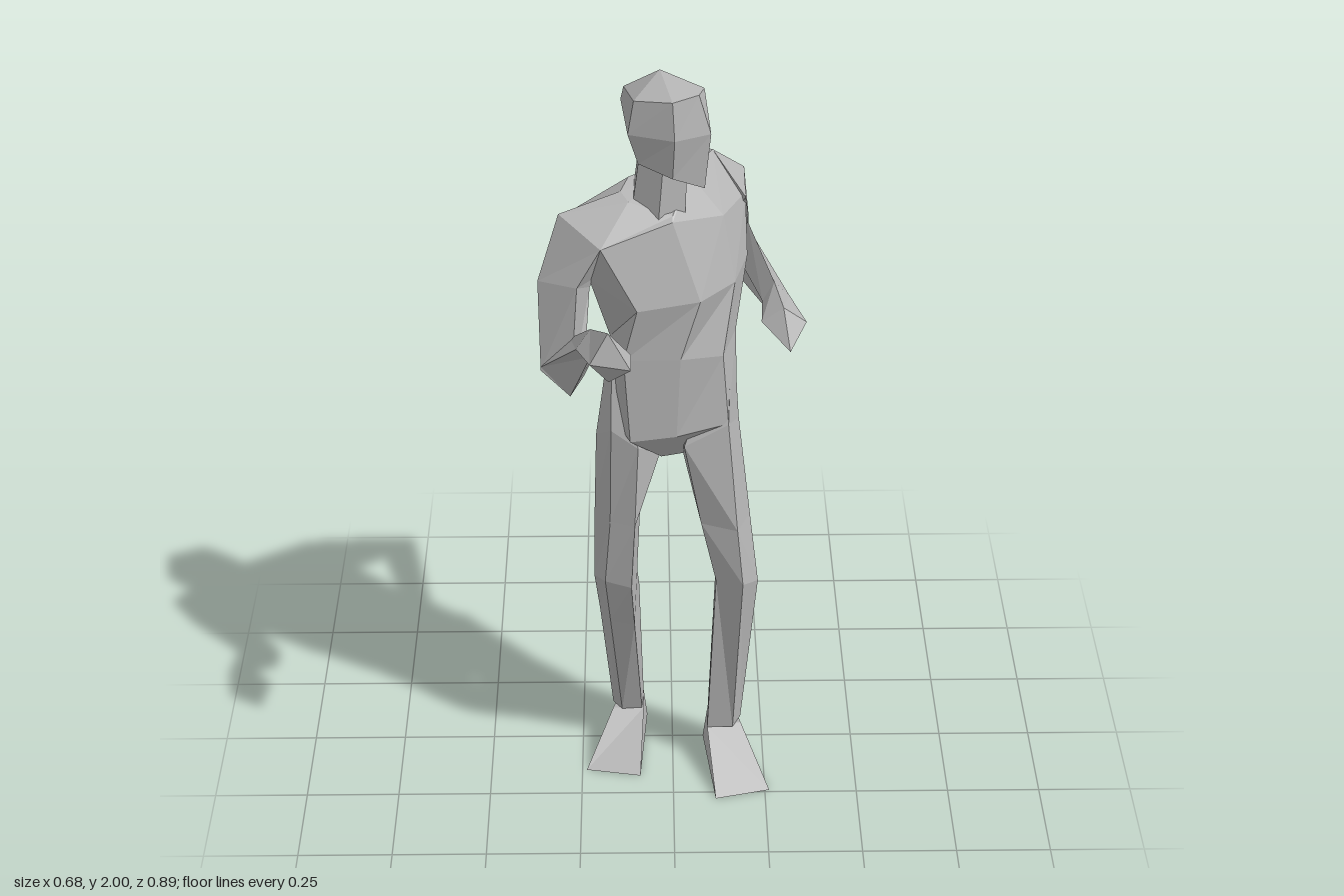
import * as THREE from 'three';

const skin = new THREE.MeshStandardMaterial({ color: 0xb4b4b4, flatShading: true });
skin.name = 'plain grey';

// Faceted skin through a stack of cross-sections; a one-point ring makes a tip.
function loft(name, rings) {
  const n = Math.max(...rings.map((r) => r.length));
  const rows = rings.map((r) => Array.from({ length: n }, (_, i) => new THREE.Vector3(...r[i % r.length])));
  const tris = [];
  const add = (a, b, c) => {
    const area = b.clone().sub(a).cross(c.clone().sub(a)).length();
    if (area > 1e-7) tris.push([a, b, c]);
  };
  for (let k = 0; k < rows.length - 1; k++) {
    for (let i = 0; i < n; i++) {
      const j = (i + 1) % n;
      const a = rows[k][i], b = rows[k][j], c = rows[k + 1][j], d = rows[k + 1][i];
      add(a, b, c);
      add(a, c, d);
    }
  }
  // end caps
  const middle = (row) => row.reduce((s, p) => s.add(p), new THREE.Vector3()).divideScalar(n);
  const first = rows[0], last = rows[rows.length - 1];
  const m0 = middle(first), m1 = middle(last);
  for (let i = 0; i < n; i++) {
    const j = (i + 1) % n;
    add(m0, first[j], first[i]);
    add(m1, last[i], last[j]);
  }
  // turn the skin outward whatever the ring direction
  const volume = tris.reduce((s, [a, b, c]) => s + a.dot(b.clone().cross(c)), 0);
  const points = tris.flatMap(([a, b, c]) => (volume < 0 ? [a, c, b] : [a, b, c]));
  const geometry = new THREE.BufferGeometry().setFromPoints(points);
  geometry.computeVertexNormals();
  const mesh = new THREE.Mesh(geometry, skin);
  mesh.name = name;
  return mesh;
}

// Horizontal regular ring
const hoop = (x, y, z, r, n = 6) => Array.from({ length: n }, (_, i) => {
  const a = (i / n) * Math.PI * 2;
  return [x + r * Math.sin(a), y, z + r * Math.cos(a)];
});

export function createModel() {
  const figure = new THREE.Group();
  figure.name = 'standing figure';

  // torso, twisted at the shoulders; rings run front right, front, left, back, right
  const hips = [[-0.11, 1.04, 0.105], [0.01, 1.04, 0.08], [0.145, 1.06, 0.05], [0.17, 1.07, -0.05],
    [0.11, 1.03, -0.18], [0, 1.03, -0.18], [-0.1, 1.04, -0.13], [-0.16, 1.05, -0.02]];
  const crotch = hips.map(([x, , z]) => [x * 0.22 - 0.005, 0.95, z * 0.3]);
  figure.add(loft('torso', [
    crotch,
    hips,
    [[-0.125, 1.28, 0.1], [0.02, 1.27, 0.08], [0.13, 1.25, 0.025], [0.165, 1.27, -0.08],
      [0.11, 1.3, -0.215], [0, 1.3, -0.2], [-0.13, 1.3, -0.13], [-0.16, 1.28, -0.03]],
    [[-0.09, 1.43, 0.115], [0.07, 1.43, 0.065], [0.16, 1.43, -0.04], [0.195, 1.45, -0.15],
      [0.09, 1.45, -0.265], [-0.06, 1.45, -0.21], [-0.2, 1.45, -0.11], [-0.21, 1.46, 0]],
    [[-0.18, 1.59, 0.085], [0, 1.64, 0.035], [0.13, 1.6, -0.08], [0.19, 1.6, -0.21],
      [0.06, 1.615, -0.32], [-0.14, 1.6, -0.21], [-0.28, 1.6, -0.08], [-0.285, 1.65, 0.005]],
    [[-0.11, 1.68, 0], [0, 1.65, 0.02], [0.045, 1.705, -0.1], [0.105, 1.71, -0.235],
      [0.085, 1.71, -0.24], [-0.01, 1.71, -0.17], [-0.11, 1.7, -0.1], [-0.13, 1.69, -0.04]],
  ]));

  // neck and head
  figure.add(loft('neck', [hoop(-0.035, 1.64, -0.05, 0.078), hoop(-0.02, 1.82, -0.06, 0.068)]));
  figure.add(loft('head', [
    [[-0.085, 1.79, 0.01], [0, 1.765, 0.045], [0.08, 1.725, 0.015], [0.07, 1.76, -0.07], [-0.01, 1.82, -0.145], [-0.1, 1.82, -0.11]],
    [[-0.11, 1.87, 0.012], [0.005, 1.87, 0.053], [0.095, 1.87, 0.01], [0.09, 1.86, -0.085], [-0.01, 1.87, -0.163], [-0.128, 1.9, -0.13]],
    [[-0.095, 1.955, 0], [0, 1.965, 0.035], [0.065, 1.97, 0], [0.08, 1.95, -0.085], [-0.01, 1.95, -0.16], [-0.12, 1.94, -0.12]],
    [[-0.03, 2, -0.085]],
  ]));

  // right arm, forearm raised forward
  figure.add(loft('rightUpperArm', [
    [[-0.285, 1.65, 0.005], [-0.28, 1.6, -0.08], [-0.19, 1.45, -0.04], [-0.18, 1.59, 0.085]],
    [[-0.34, 1.48, 0.04], [-0.3, 1.47, -0.04], [-0.21, 1.44, 0], [-0.24, 1.49, 0.1]],
    [[-0.335, 1.26, 0.11], [-0.29, 1.25, 0.06], [-0.225, 1.25, 0.1], [-0.26, 1.21, 0.155]],
  ]));
  const rightWrist = [[-0.24, 1.42, 0.28], [-0.205, 1.39, 0.265], [-0.18, 1.42, 0.25], [-0.205, 1.46, 0.25]];
  figure.add(loft('rightForearm', [
    [[-0.335, 1.27, 0.11], [-0.26, 1.21, 0.155], [-0.225, 1.25, 0.12], [-0.26, 1.34, 0.085]],
    rightWrist,
  ]));
  figure.add(loft('rightHand', [
    rightWrist,
    [[-0.205, 1.44, 0.39], [-0.16, 1.38, 0.37], [-0.105, 1.43, 0.325], [-0.16, 1.505, 0.35]],
    [[-0.105, 1.455, 0.444]],
  ]));

  // left arm, elbow drawn back
  figure.add(loft('leftUpperArm', [
    [[0.105, 1.71, -0.235], [0.06, 1.615, -0.318], [0.13, 1.47, -0.25], [0.19, 1.6, -0.18]],
    [[0.19, 1.618, -0.32], [0.09, 1.57, -0.35], [0.13, 1.46, -0.31], [0.2, 1.52, -0.24]],
    [[0.21, 1.37, -0.44], [0.14, 1.365, -0.445], [0.16, 1.3, -0.37], [0.2, 1.44, -0.32]],
  ]));
  const leftWrist = [[0.3, 1.38, -0.06], [0.26, 1.43, -0.04], [0.23, 1.38, -0.03], [0.265, 1.32, -0.04]];
  figure.add(loft('leftForearm', [
    [[0.212, 1.37, -0.44], [0.2, 1.47, -0.3], [0.142, 1.365, -0.443], [0.17, 1.29, -0.355]],
    leftWrist,
  ]));
  figure.add(loft('leftHand', [
    leftWrist,
    [[0.34, 1.36, 0.045], [0.28, 1.41, 0.06], [0.225, 1.37, 0.06], [0.28, 1.295, 0.04]],
    [[0.295, 1.33, 0.145]],
  ]));

  // legs: waist tip, hip, mid thigh, knee, calf, ankle
  figure.add(loft('leftLeg', [
    [[0.155, 1.32, -0.08]],
    [[0.03, 1, 0.065], [0.145, 1.06, 0.055], [0.175, 1.02, -0.05], [0.13, 1.02, -0.178], [0.02, 0.95, -0.05]],
    [[0.075, 0.77, 0.08], [0.17, 0.77, 0.118], [0.205, 0.77, 0.03], [0.16, 0.77, -0.06], [0.075, 0.75, 0]],
    [[0.115, 0.6, 0.1], [0.185, 0.62, 0.15], [0.228, 0.58, 0.07], [0.18, 0.58, 0], [0.115, 0.58, 0.03]],
    [[0.095, 0.1, 0.09], [0.165, 0.1, 0.09], [0.188, 0.1, 0.04], [0.17, 0.1, 0], [0.098, 0.1, 0.005]],
  ]));
  figure.add(loft('rightLeg', [
    [[-0.155, 1.32, -0.03]],
    [[-0.09, 1.01, 0.09], [-0.16, 1.05, 0.065], [-0.2, 1, 0], [-0.14, 1.01, -0.13], [-0.03, 0.95, 0]],
    [[-0.1, 0.78, 0.11], [-0.165, 0.78, 0.085], [-0.206, 0.8, 0.03], [-0.16, 0.78, -0.06], [-0.085, 0.78, -0.02]],
    [[-0.11, 0.6, 0.132], [-0.18, 0.6, 0.1], [-0.21, 0.58, 0.04], [-0.165, 0.57, -0.01], [-0.095, 0.58, 0.01]],
    [[-0.103, 0.45, 0.09], [-0.168, 0.45, 0.07], [-0.197, 0.45, 0.01], [-0.16, 0.47, -0.09], [-0.09, 0.47, -0.07]],
    [[-0.085, 0.1, 0], [-0.14, 0.1, 0.005], [-0.165, 0.1, -0.03], [-0.13, 0.1, -0.09], [-0.08, 0.1, -0.07]],
  ]));

  // wedge feet
  figure.add(loft('leftFoot', [
    [[0.095, 0.1, 0.09], [0.188, 0.1, 0.07], [0.17, 0.1, 0], [0.097, 0.1, 0.005]],
    [[0.115, 0, 0.278], [0.262, 0, 0.242], [0.175, 0, -0.005], [0.085, 0, 0]],
  ]));
  figure.add(loft('rightFoot', [
    [[-0.08, 0.1, 0], [-0.165, 0.1, 0], [-0.14, 0.1, -0.09], [-0.08, 0.1, -0.08]],
    [[-0.09, 0, 0.177], [-0.238, 0, 0.15], [-0.15, 0, -0.105], [-0.07, 0, -0.1]],
  ]));

  return figure;
}
